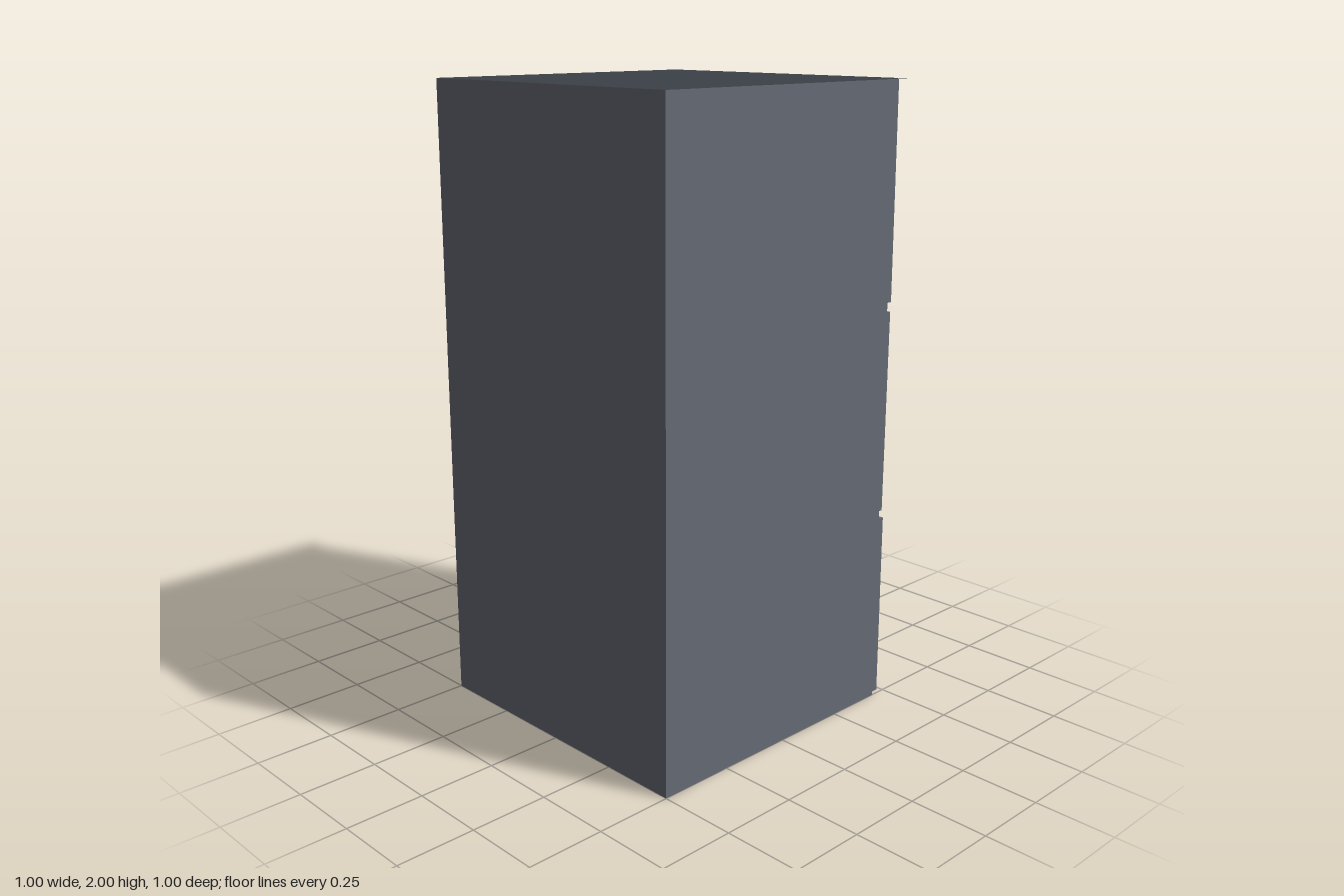
import * as THREE from 'three';

export function createModel() {
  const model = new THREE.Group();
  const stone = new THREE.MeshStandardMaterial({ color: 0x666b75, side: THREE.DoubleSide });
  stone.name = 'slate grey stone';
  const mortar = new THREE.MeshStandardMaterial({ color: 0x3c4147, side: THREE.DoubleSide });
  mortar.name = 'dark mortar';

  const FACE = 0.445; // x of the recessed mortar wall

  function sheet(name, w, h, material, position, rotation) {
    const mesh = new THREE.Mesh(new THREE.PlaneGeometry(w, h), material);
    mesh.name = name;
    mesh.position.set(...position);
    mesh.rotation.set(...rotation);
    model.add(mesh);
  }

  // Hollow shell, open underneath
  const depth = FACE + 0.5, midX = (FACE - 0.5) / 2;
  sheet('frontWall', depth, 2, stone, [midX, 1, 0.5], [0, 0, 0]);
  sheet('backWall', depth, 2, stone, [midX, 1, -0.5], [0, Math.PI, 0]);
  sheet('plainSideWall', 1, 2, stone, [-0.5, 1, 0], [0, -Math.PI / 2, 0]);
  sheet('mortarWall', 1, 2, mortar, [FACE, 1, 0], [0, Math.PI / 2, 0]);
  sheet('topCap', 1, 1, mortar, [0, 2, 0], [-Math.PI / 2, 0, 0]);

  // Stone blocks: y range, z range, then outer x at the
  // bottom front, bottom back, top front and top back corners
  const blocks = [
    [0, 0.61, 0.055, 0.485, 0.487, 0.485, 0.485, 0.484],
    [0, 0.61, -0.485, 0.025, 0.486, 0.476, 0.488, 0.483],
    [0.637, 1.29, 0.218, 0.485, 0.477, 0.479, 0.48, 0.481],
    [0.637, 1.29, -0.185, 0.19, 0.478, 0.478, 0.482, 0.482],
    [0.637, 1.29, -0.485, -0.212, 0.479, 0.475, 0.485, 0.48],
    [1.32, 1.998, 0.053, 0.485, 0.482, 0.484, 0.478, 0.48],
    [1.32, 1.998, -0.485, 0.022, 0.484, 0.48, 0.48, 0.476],
  ];
  blocks.forEach(([y0, y1, z0, z1, bf, bb, tf, tb], i) => {
    const geometry = new THREE.BoxGeometry(1, 1, 1);
    const p = geometry.attributes.position;
    for (let v = 0; v < p.count; v++) {
      const top = p.getY(v) > 0, front = p.getZ(v) > 0;
      const outer = top ? (front ? tf : tb) : (front ? bf : bb);
      p.setXYZ(v, p.getX(v) > 0 ? outer : FACE, top ? y1 : y0, front ? z1 : z0);
    }
    geometry.computeVertexNormals();
    const mesh = new THREE.Mesh(geometry, stone);
    mesh.name = `stoneBlock${i + 1}`;
    model.add(mesh);
  });

  return model;
}
